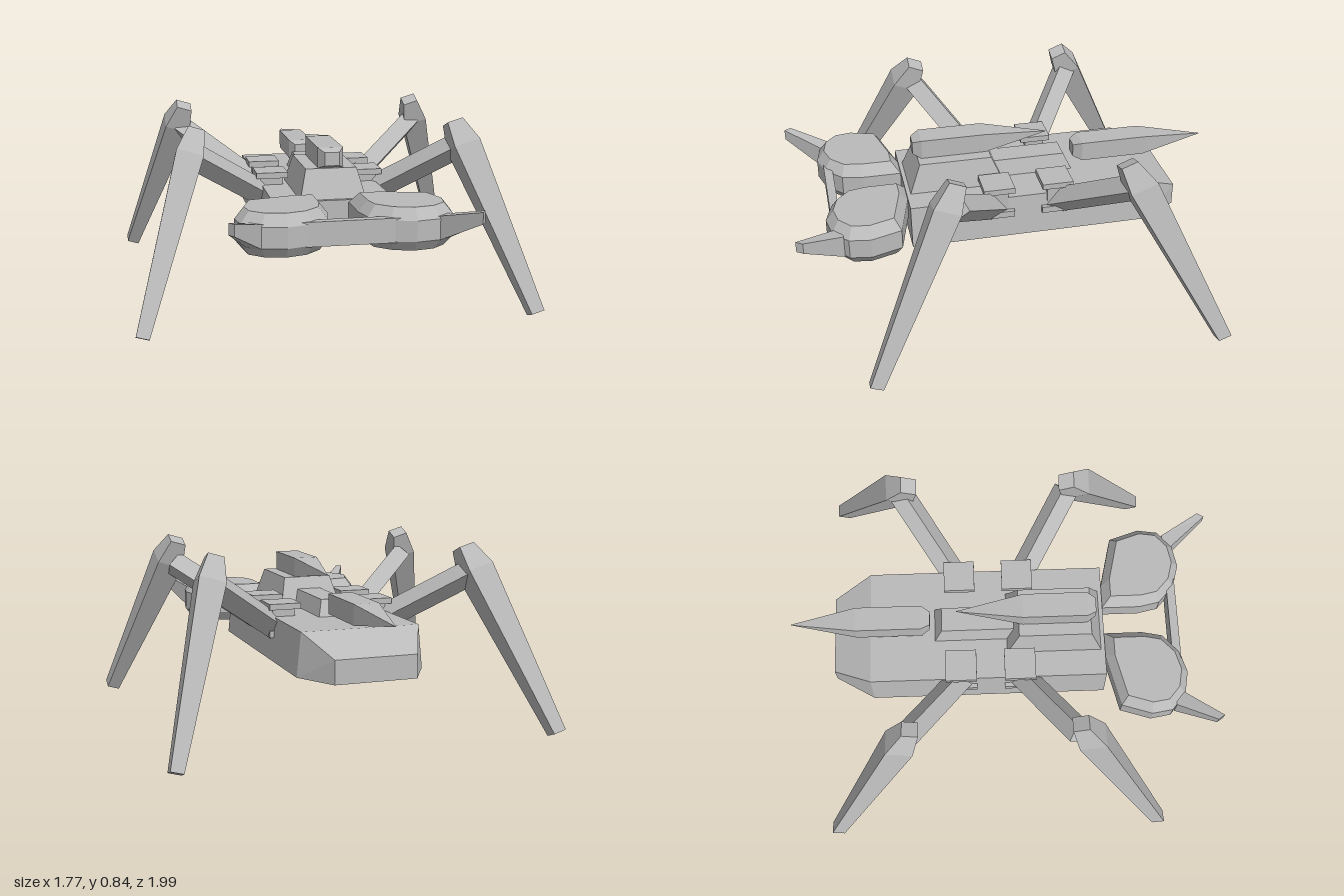
import * as THREE from 'three';

const grey = new THREE.MeshStandardMaterial({ color: 0xbababa });
grey.name = 'plain grey';

// Flat-faced solid through a list of cross-sections with equal point counts
function loft(name, rings) {
  const tris = [];
  const n = rings[0].length;
  for (let r = 0; r < rings.length - 1; r++) {
    const a = rings[r], b = rings[r + 1];
    for (let i = 0; i < n; i++) {
      const j = (i + 1) % n;
      tris.push([a[i], a[j], b[j]], [a[i], b[j], b[i]]);
    }
  }
  const first = rings[0], last = rings[rings.length - 1];
  for (let i = 1; i < n - 1; i++) {
    tris.push([first[0], first[i + 1], first[i]], [last[0], last[i], last[i + 1]]);
  }
  // Signed volume tells whether the corners must be reversed
  let volume = 0;
  const v = (p) => new THREE.Vector3(...p);
  for (const [p, q, s] of tris) volume += v(p).dot(v(q).cross(v(s)));
  if (volume < 0) tris.forEach((t) => t.reverse());
  const geo = new THREE.BufferGeometry();
  geo.setAttribute('position', new THREE.Float32BufferAttribute(tris.flat(2), 3));
  geo.computeVertexNormals();
  const mesh = new THREE.Mesh(geo, grey);
  mesh.name = name;
  return mesh;
}

// Rectangle across z, and rectangle across y
const rectZ = (z, bottomW, topW, y0, y1) =>
  [[-bottomW, y0, z], [bottomW, y0, z], [topW, y1, z], [-topW, y1, z]];
const rectY = (y, w, z0, z1) => [[-w, y, z0], [w, y, z0], [w, y, z1], [-w, y, z1]];

function box(name, x0, x1, y0, y1, z0, z1) {
  const mesh = new THREE.Mesh(new THREE.BoxGeometry(x1 - x0, y1 - y0, z1 - z0), grey);
  mesh.position.set((x0 + x1) / 2, (y0 + y1) / 2, (z0 + z1) / 2);
  mesh.name = name;
  return mesh;
}

// Spike-tailed pod: small front face, square body, pointed rear
function pod(name, frontZ, tailZ, tipZ, y) {
  const sq = (z, w, h) => rectZ(z, w, w, y - h, y + h);
  return loft(name, [
    sq(frontZ, 0.033, 0.03), sq(frontZ - 0.04, 0.057, 0.046),
    sq(tailZ, 0.057, 0.046), sq(tipZ, 0.001, 0.001),
  ]);
}

// Leg: square beam turned on its edge, then a tapering shin
function leg(name, sx, front) {
  const g = new THREE.Group();
  g.name = name;
  const flip = (z) => (front ? z : -z - 0.108);
  const start = new THREE.Vector3(sx * 0.2, 0.42, front ? 0.05 : -0.175);
  const end = new THREE.Vector3(sx * 0.6, 0.70, front ? 0.32 : -0.465);
  const beam = new THREE.Mesh(new THREE.BoxGeometry(0.085, 0.085, start.distanceTo(end)), grey);
  beam.position.copy(start).lerp(end, 0.5);
  beam.lookAt(end);
  beam.rotateZ(Math.PI / 4);
  beam.name = 'upperLeg';

  const section = (x, y, z, h) => [[-1, -1], [1, -1], [1, 1], [-1, 1]].map(([a, b]) =>
    [sx * (x + a * h), y + h * (0.3 * a + 0.4 * b), flip(z + b * h)]);
  const shin = loft('lowerLeg', [
    section(0.585, 0.815, 0.315, 0.035),
    section(0.62, 0.715, 0.37, 0.058),
    section(0.858, 0.02, 0.727, 0.028),
  ]);
  g.add(beam, shin);
  return g;
}

// Hip clamp: upper plate, narrower block and lower plate
function clamp(name, sx, z) {
  const g = new THREE.Group();
  g.name = name;
  const part = (n, x0, x1, y0, y1, h) =>
    box(n, Math.min(sx * x0, sx * x1), Math.max(sx * x0, sx * x1), y0, y1, z - h, z + h);
  g.add(
    part('upperPlate', 0.15, 0.297, 0.545, 0.572, 0.072),
    part('clampBlock', 0.17, 0.275, 0.44, 0.55, 0.045),
    part('lowerPlate', 0.2, 0.297, 0.42, 0.45, 0.072),
  );
  return g;
}

// Bevelled round front pod with a squared neck
function frontDisc(name, sx) {
  const outline = [
    [0.065, 0.475], [0.175, 0.475], [0.42, 0.535], [0.465, 0.675], [0.45, 0.77],
    [0.375, 0.835], [0.27, 0.855], [0.165, 0.825], [0.085, 0.75], [0.065, 0.655],
  ];
  const ring = (y, s) => outline.map(([x, z]) =>
    [sx * (0.265 + (x - 0.265) * s), y, 0.675 + (z - 0.675) * s]);
  return loft(name, [ring(0.365, 0.82), ring(0.41, 1), ring(0.5, 1), ring(0.55, 0.8)]);
}

export function createModel() {
  const model = new THREE.Group();
  model.name = 'walker';

  // Hull with a sloping, narrowed rear
  model.add(loft('hull', [
    rectZ(0.475, 0.29, 0.27, 0.315, 0.51),
    rectZ(-0.63, 0.29, 0.27, 0.315, 0.51),
    rectZ(-0.81, 0.185, 0.185, 0.315, 0.42),
  ]));

  // Raised deck blocks and the pods above them
  model.add(loft('frontDeck', [
    rectY(0.5, 0.15, 0.01, 0.46), rectY(0.64, 0.115, 0.07, 0.405),
  ]));
  model.add(loft('rearDeck', [
    rectY(0.5, 0.082, -0.33, 0.05), rectY(0.585, 0.057, -0.29, 0.05),
  ]));
  model.add(pod('upperPod', 0.425, 0.09, -0.217, 0.684));
  model.add(pod('rearPod', -0.345, -0.69, -0.995, 0.58));

  // Front bar sweeping out into two raised prongs: [front x, z], [back x, z], y range
  const barSide = [
    [0.5, 0.995, 0.52, 0.965, 0.51, 0.56],
    [0.37, 0.83, 0.43, 0.79, 0.405, 0.51],
  ];
  const barRing = (sx) => ([fx, fz, bx, bz, y0, y1]) =>
    [[sx * fx, y0, fz], [sx * bx, y0, bz], [sx * bx, y1, bz], [sx * fx, y1, fz]];
  model.add(loft('frontBar', [
    ...barSide.map(barRing(-1)), ...[...barSide].reverse().map(barRing(1)),
  ]));

  for (const sx of [1, -1]) {
    const side = sx > 0 ? 'left' : 'right';
    model.add(
      frontDisc(side + 'FrontDisc', sx),
      clamp(side + 'FrontClamp', sx, 0.07),
      clamp(side + 'RearClamp', sx, -0.204),
      leg(side + 'FrontLeg', sx, true),
      leg(side + 'RearLeg', sx, false),
    );
  }
  return model;
}
